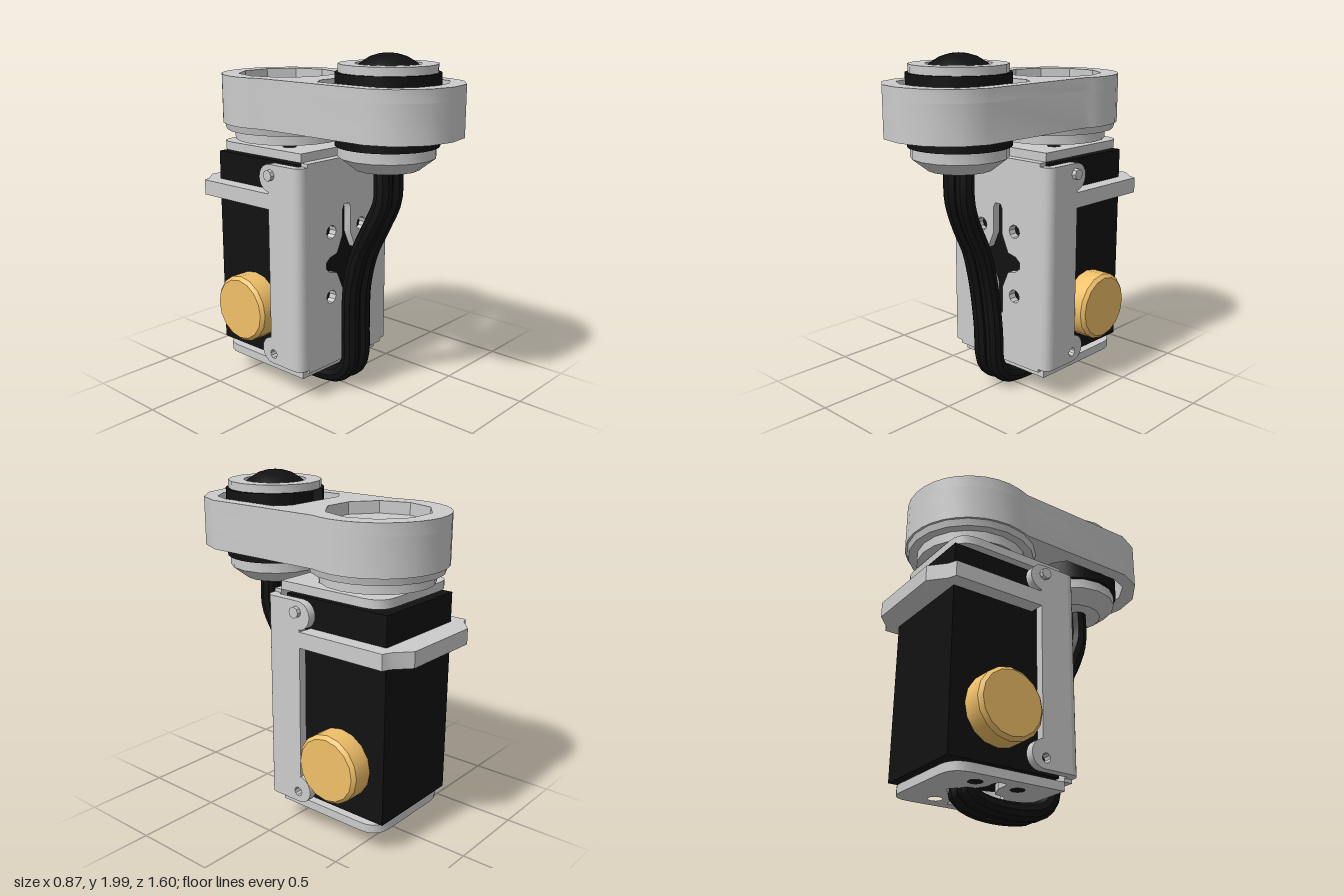
import * as THREE from 'three';
import { toCreasedNormals } from 'three/addons/utils/BufferGeometryUtils.js';

const grey = new THREE.MeshStandardMaterial({ color: 0xcccccc });
const black = new THREE.MeshStandardMaterial({ color: 0x111111 });
const gold = new THREE.MeshStandardMaterial({ color: 0xf0c068 });

function add(group, name, geometry, material, x = 0, y = 0, z = 0) {
  const mesh = new THREE.Mesh(toCreasedNormals(geometry, 0.6), material);
  mesh.name = name;
  mesh.position.set(x, y, z);
  group.add(mesh);
  return mesh;
}

const vectors = (pts) => pts.map(([x, y]) => new THREE.Vector2(x, y));

// Closes a right-hand half outline with its mirror image across x = 0
const mirrored = (half) => [...half, ...half.map(([x, y]) => [-x, y]).reverse()];

const extrude = (shape, depth) =>
  new THREE.ExtrudeGeometry(shape, { depth, bevelEnabled: false, curveSegments: 5 });

// Shape drawn in x/z and given height between two levels
const slab = (shape, bottom, top) =>
  extrude(shape, top - bottom).rotateX(Math.PI / 2).translate(0, top, 0);

const lathe = (pts, sides = 20) => new THREE.LatheGeometry(vectors(pts), sides);

const circle = (x, y, r) => new THREE.Path().absarc(x, y, r, 0, Math.PI * 2, true);

// Cable slot with side lobes and four screw holes
function mountingHoles(cx, cy, length, turned) {
  const at = ([x, y]) => (turned ? [cx + y, cy + x] : [cx + x, cy + y]);
  const quarter = [[0.02, length], [0.035, length - 0.03], [0.035, 0.16], [0.08, 0.06], [0.14, 0.045], [0.17, 0.02]];
  const half = [...quarter, ...quarter.map(([x, y]) => [x, -y]).reverse()];
  const paths = [new THREE.Path(vectors(mirrored(half).map(at)))];
  for (const x of [-0.13, 0.13]) for (const y of [-0.195, 0.195]) paths.push(circle(...at([x, y]), 0.04));
  return paths;
}

function createBracket() {
  const g = new THREE.Group();
  g.name = 'bracket';

  // Front plate with narrower tabs at top and bottom
  const plate = new THREE.Shape(vectors(mirrored([
    [0.32, 0.18], [0.32, 0.2], [0.34, 0.2], [0.34, 1.39], [0.32, 1.39], [0.32, 1.41],
  ])));
  plate.holes.push(...mountingHoles(0, 0.795, 0.34, false));
  add(g, 'frontPlate', extrude(plate, 0.05), grey, 0, 0, 0.04);

  // Top and bottom flanges with rounded rear corners
  const flange = new THREE.Shape();
  flange.moveTo(-0.32, 0.04);
  flange.lineTo(0.32, 0.04);
  flange.lineTo(0.32, -0.52);
  flange.quadraticCurveTo(0.32, -0.64, 0.2, -0.64);
  flange.lineTo(-0.2, -0.64);
  flange.quadraticCurveTo(-0.32, -0.64, -0.32, -0.52);
  flange.holes.push(...mountingHoles(0, -0.3, 0.25, true));
  add(g, 'topFlange', slab(flange, 1.41, 1.46), grey);
  add(g, 'bottomFlange', slab(flange, 0.13, 0.18), grey);

  // Rounded folds joining the plates
  const fold = (length, start) =>
    new THREE.CylinderGeometry(0.05, 0.05, length, 5, 1, false, start, Math.PI / 2);
  add(g, 'topFold', fold(0.64, 0).rotateZ(Math.PI / 2), grey, 0, 1.41, 0.04).rotation.x = -Math.PI / 2;
  add(g, 'bottomFold', fold(0.64, 0).rotateZ(Math.PI / 2), grey, 0, 0.18, 0.04);
  g.children.slice(-2).forEach((m, i) => {
    m.rotation.x = 0;
    m.geometry = toCreasedNormals(
      new THREE.CylinderGeometry(0.05, 0.05, 0.64, 5, 1, false, i ? 0 : Math.PI / 2, Math.PI / 2).rotateZ(Math.PI / 2), 0.6);
  });

  // Side plates, drawn in z/y, with rounded lugs
  const side = new THREE.Shape();
  side.moveTo(0.04, 0.2);
  side.lineTo(0.04, 1.39);
  side.lineTo(-0.14, 1.39);
  side.absarc(-0.14, 1.31, 0.08, Math.PI / 2, Math.PI * 1.5, false);
  side.lineTo(-0.15, 1.23);
  side.lineTo(-0.15, 0.36);
  side.absarc(-0.14, 0.28, 0.08, Math.PI / 2, Math.PI * 1.5, false);
  side.holes.push(circle(-0.13, 0.26, 0.027));
  for (const s of [-1, 1]) {
    add(g, 'sidePlate', extrude(side, 0.05).rotateY(-Math.PI / 2), grey, s > 0 ? 0.39 : -0.34);
    add(g, 'sideFold', fold(1.19, s > 0 ? 0 : -Math.PI / 2), grey, s * 0.34, 0.795, 0.04);
    add(g, 'pivotBolt', new THREE.CylinderGeometry(0.032, 0.032, 0.08, 8).rotateZ(Math.PI / 2),
      grey, s * 0.375, 1.33, -0.13);
  }
  return g;
}

function createMotor() {
  const g = new THREE.Group();
  g.name = 'motorUnit';
  add(g, 'motorBody', new THREE.BoxGeometry(0.6, 1.19, 0.68), black, 0, 0.795, -0.32);

  // Clamp strap round the rear of the motor
  const strap = new THREE.Shape(vectors(mirrored([
    [0.3, -0.66], [0.3, -0.15], [0.39, -0.15], [0.39, -0.7], [0.34, -0.72], [0.25, -0.8],
  ].reverse()).reverse()));
  add(g, 'clamp', slab(strap, 1.13, 1.22), grey);

  // Bevelled side caps
  for (const s of [-1, 1]) {
    const cap = lathe([[0, 0], [0.2, 0], [0.2, 0.12], [0.18, 0.14], [0, 0.14]], 16);
    add(g, 'sideCap', cap.rotateZ(-s * Math.PI / 2), gold, s * 0.295, 0.49, -0.37);
  }
  return g;
}

function createArm() {
  const g = new THREE.Group();
  g.name = 'swivelArm';
  // Outline: large round rear end, narrower round front end
  const half = [];
  for (let i = 0; i <= 7; i++) {
    const a = -Math.PI / 2 + (i * Math.PI) / 16 + 0.0001;
    half.push([0.39 * Math.cos(a), -0.37 + 0.39 * Math.sin(a)]);
  }
  half.push([0.39, -0.37], [0.38, -0.29], [0.36, -0.22], [0.36, 0.52], [0.3, 0.66], [0.16, 0.77], [0.01, 0.8]);
  const opening = mirrored([[0.2, 0.07], [0.28, 0.13], [0.28, 0.5], [0.24, 0.61], [0.13, 0.68], [0.01, 0.7]]);
  const outline = (...extra) => {
    const shape = new THREE.Shape(vectors(mirrored(half)));
    shape.holes.push(new THREE.Path(vectors(opening)), ...extra);
    return shape;
  };
  add(g, 'armBody', slab(outline(), 1.57, 1.78), grey);
  add(g, 'armRecessedTop', slab(outline(circle(0, -0.37, 0.29)), 1.78, 1.85), grey);

  // Stepped turntable under the rear end
  add(g, 'turntable', lathe([[0, 1.46], [0.32, 1.47], [0.32, 1.53], [0.37, 1.53], [0.38, 1.57], [0, 1.57]]),
    grey, 0, 0, -0.37);
  return g;
}

function createHead() {
  const g = new THREE.Group();
  g.name = 'head';
  // Sleeve with a gap at the rear, round an inner core
  const sleeve = new THREE.Shape();
  const gap = 0.42;
  sleeve.absarc(0, 0, 0.285, -Math.PI / 2 + gap, Math.PI * 1.5 - gap, false);
  sleeve.absarc(0, 0, 0.22, Math.PI * 1.5 - gap, -Math.PI / 2 + gap, true);
  const sleeveGeometry = new THREE.ExtrudeGeometry(sleeve, { depth: 0.39, bevelEnabled: false, curveSegments: 14 });
  add(g, 'sleeve', sleeveGeometry.rotateX(Math.PI / 2), black, 0, 1.9, 0);
  add(g, 'core', new THREE.CylinderGeometry(0.23, 0.23, 0.39, 16), black, 0, 1.705, 0);

  // Collar, dome and lower cone
  add(g, 'collar', lathe([[0.18, 1.9], [0.27, 1.9], [0.27, 1.945], [0.18, 1.945], [0.18, 1.9]], 16), grey);
  add(g, 'dome', lathe([[0.18, 1.925], [0.15, 1.95], [0.1, 1.98], [0.05, 1.995], [0, 2]], 16), black);
  add(g, 'lowerCone', lathe([[0, 1.38], [0.18, 1.38], [0.27, 1.45], [0.27, 1.51], [0, 1.51]], 16), grey);
  g.position.z = 0.38;
  return g;
}

function createCables() {
  const g = new THREE.Group();
  g.name = 'cables';
  // Path points: sideways drift, height, depth
  const path = [
    [0, 1.42, 0.39], [0, 1.2, 0.39], [-0.015, 1.05, 0.33], [-0.02, 0.875, 0.245], [-0.02, 0.655, 0.19],
    [-0.005, 0.4, 0.17], [0, 0.17, 0.155], [0, 0.09, 0.08], [0, 0.065, -0.03], [0, 0.06, -0.19],
    [0, 0.08, -0.31], [0, 0.12, -0.38], [0, 0.22, -0.39],
  ];
  for (const s of [-1, 1]) {
    const curve = new THREE.CatmullRomCurve3(path.map(([x, y, z]) => new THREE.Vector3(x + s * 0.047, y, z)));
    add(g, 'cable', new THREE.TubeGeometry(curve, 40, 0.054, 10), black);
  }
  return g;
}

export function createModel() {
  const model = new THREE.Group();
  model.name = 'swivelMount';
  model.add(createBracket(), createMotor(), createArm(), createHead(), createCables());
  return model;
}
